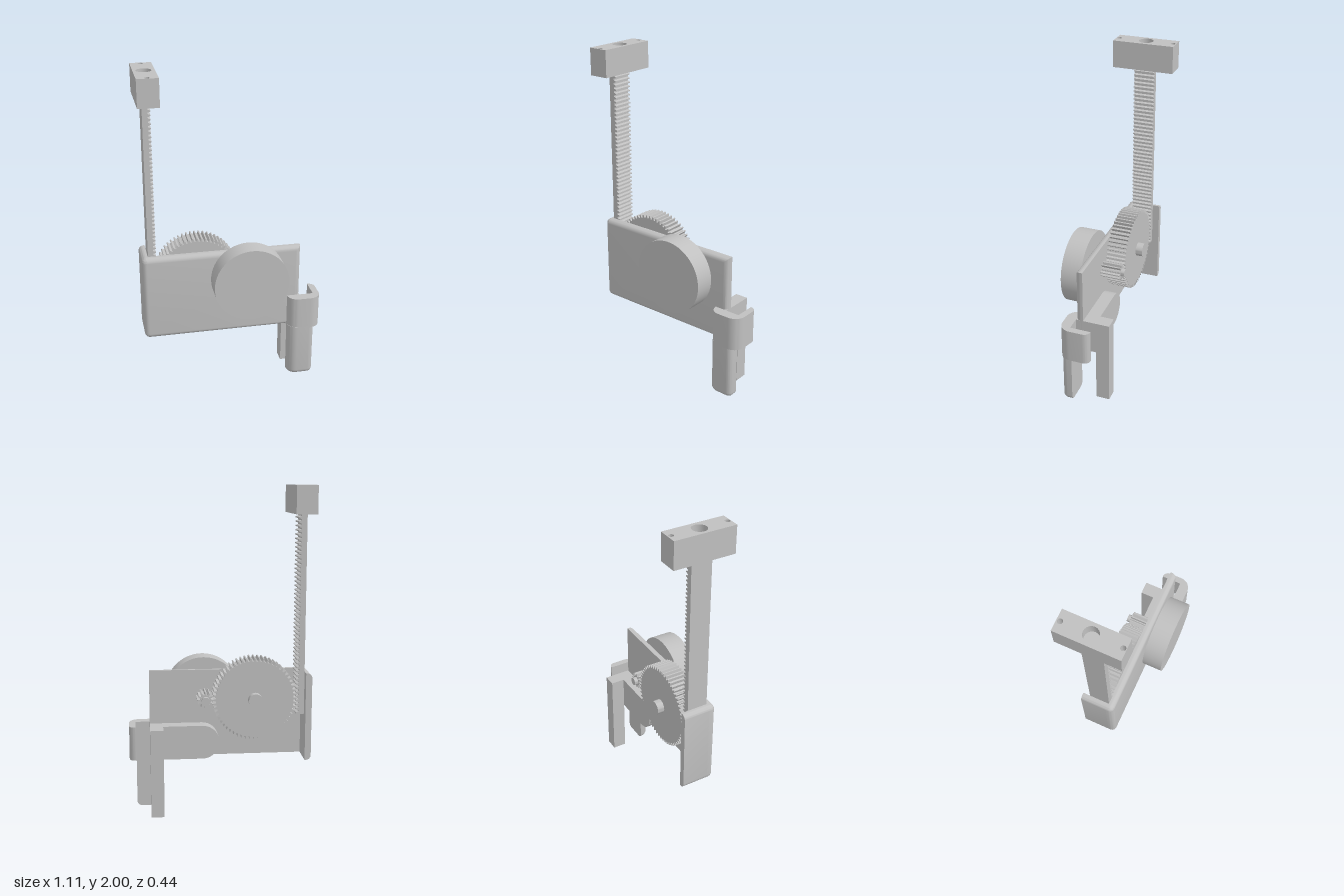
import * as THREE from 'three';
import { toCreasedNormals } from 'three/addons/utils/BufferGeometryUtils.js';

const grey = new THREE.MeshStandardMaterial({ color: 0xc0c0c0 });
grey.name = 'plain grey';

// Closed outline; each point is [x, y] or [x, y, cornerRadius]
function outline(points) {
  const shape = new THREE.Shape();
  const n = points.length;
  points.forEach(([x, y, r = 0], i) => {
    const toward = ([px, py]) => {
      const d = Math.hypot(px - x, py - y);
      return [x + (px - x) * r / d, y + (py - y) * r / d];
    };
    const a = toward(points[(i + n - 1) % n]);
    const b = toward(points[(i + 1) % n]);
    if (i === 0) shape.moveTo(...a); else shape.lineTo(...a);
    if (r) {
      // circular fillet as a cubic curve
      const k = 0.5523;
      const mix = (p) => [p[0] + (x - p[0]) * k, p[1] + (y - p[1]) * k];
      shape.bezierCurveTo(...mix(a), ...mix(b), ...b);
    }
  });
  shape.closePath();
  return shape;
}

function extrude(shape, depth, options = {}) {
  return new THREE.ExtrudeGeometry(shape, { depth, bevelEnabled: false, curveSegments: 10, ...options });
}

// Slab with a rounded far edge and a flat near face
function roundedSlab(shape, depth, r) {
  const geo = extrude(shape, depth - r, {
    bevelEnabled: true, bevelSize: r, bevelThickness: r, bevelOffset: -r, bevelSegments: 6,
  });
  const p = geo.attributes.position;
  for (let i = 0; i < p.count; i++) p.setZ(i, Math.max(0, p.getZ(i)));
  return geo;
}

function gearShape(teeth, root, tip) {
  const pts = [];
  const step = Math.PI * 2 / teeth;
  for (let i = 0; i < teeth; i++) {
    for (const [f, r] of [[-0.32, root], [-0.13, tip], [0.13, tip], [0.32, root]]) {
      const a = (i + f) * step;
      pts.push([r * Math.cos(a), r * Math.sin(a)]);
    }
  }
  return outline(pts);
}

export function createModel() {
  const model = new THREE.Group();
  model.name = 'rackAndGearMechanism';

  function add(name, geo, x = 0, y = 0, z = 0) {
    const mesh = new THREE.Mesh(toCreasedNormals(geo, 0.6), grey);
    mesh.name = name;
    mesh.position.set(x, y, z);
    model.add(mesh);
    return mesh;
  }
  function box(name, x0, x1, y0, y1, z0, z1) {
    add(name, new THREE.BoxGeometry(x1 - x0, y1 - y0, z1 - z0), (x0 + x1) / 2, (y0 + y1) / 2, (z0 + z1) / 2);
  }
  // Round part lying along z
  function disc(name, x, y, r, z0, z1, sides = 48) {
    add(name, new THREE.CylinderGeometry(r, r, z1 - z0, sides).rotateX(Math.PI / 2), x, y, (z0 + z1) / 2);
  }

  // Housing: front plate and side wall
  const plate = outline([[-0.555, 0.34, 0.031], [0.425, 0.34], [0.425, 0.885], [-0.555, 0.885, 0.031]]);
  add('frontPlate', roundedSlab(plate, 0.045, 0.03), 0, 0, 0.03);
  const wall = outline([[-0.555, 0.34, 0.031], [-0.517, 0.34], [-0.517, 0.885], [-0.555, 0.885, 0.031]]);
  add('sideWall', extrude(wall, 0.175), 0, 0, -0.135);

  // Gears with their shafts
  const axleY = 0.72, gearX = -0.213, knobX = 0.088;
  add('largeGear', extrude(gearShape(60, 0.237, 0.255), 0.122), gearX, axleY, -0.092);
  disc('largeGearShaft', gearX, axleY, 0.042, -0.135, 0.074, 32);
  add('pinion', extrude(gearShape(12, 0.033, 0.05), 0.122), knobX, axleY, -0.092);
  disc('pinionPin', knobX, axleY, 0.024, -0.115, -0.08, 24);
  disc('knobShaft', knobX, axleY, 0.042, 0.04, 0.1, 32);
  disc('knob', knobX, axleY, 0.23, 0.09, 0.215, 72);

  // Toothed rack
  const rackPts = [[-0.515, 1.836], [-0.515, 0.62]];
  const pitch = 0.0257;
  for (let y = 0.62; y + pitch < 1.836; y += pitch) {
    rackPts.push([-0.482, y], [-0.466, y + pitch * 0.2], [-0.466, y + pitch * 0.48], [-0.482, y + pitch * 0.68]);
  }
  rackPts.push([-0.482, 1.836]);
  add('rack', extrude(outline(rackPts), 0.127), 0, 0, -0.092);

  // Head block with three blind holes in its top
  box('headBlock', -0.55, -0.425, 1.835, 1.92, -0.22, 0.155);
  const head = outline([[-0.55, -0.155], [-0.425, -0.155], [-0.425, 0.22], [-0.55, 0.22]]);
  for (const [z, r] of [[-0.033, 0.044], [-0.2, 0.015], [0.137, 0.015]]) {
    head.holes.push(new THREE.Path().absarc(-0.488, -z, r, 0, Math.PI * 2, true));
  }
  add('headTop', extrude(head, 0.08).rotateX(-Math.PI / 2), 0, 1.92, 0);

  // Arm with a round end
  const arm = outline([[0.0, 0.34, 0.104], [0.36, 0.34], [0.36, 0.55], [0.0, 0.55, 0.104]]);
  add('arm', extrude(arm, 0.085), 0, 0, -0.05);

  // Hooked clamp, drawn in plan as (x, -z)
  const hook = outline([
    [0.345, 0.05], [0.345, -0.14, 0.065], [0.552, -0.14, 0.07], [0.552, 0.052, 0.038],
    [0.512, 0.052], [0.512, -0.076], [0.425, -0.076], [0.425, 0.05],
  ]);
  add('clampHook', extrude(hook, 0.21).rotateX(-Math.PI / 2), 0, 0.34, 0);

  // Clamp legs
  box('backLeg', 0.345, 0.425, 0, 0.55, -0.135, -0.05);
  const leg = outline([[0.345, 0.04], [0.51, 0.04], [0.51, 0.14, 0.032], [0.345, 0.14, 0.06]]);
  const legGeo = roundedSlab(leg, 0.35, 0.03).rotateX(Math.PI / 2);
  const p = legGeo.attributes.position;
  for (let i = 0; i < p.count; i++) p.setZ(i, Math.max(0.076, p.getZ(i)));
  add('frontLeg', legGeo, 0, 0.35, 0);

  return model;
}
